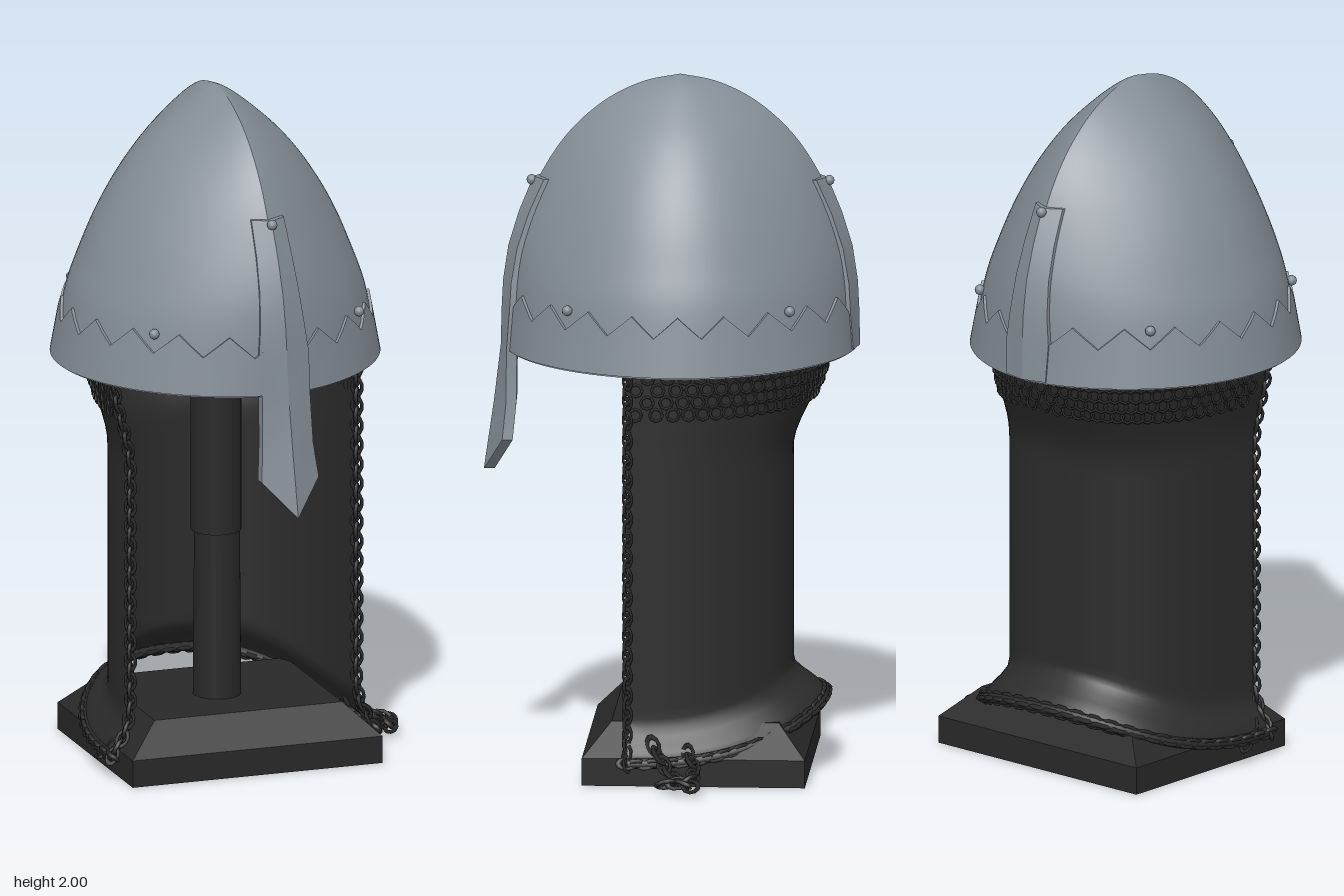
import * as THREE from 'three';
import { mergeGeometries, toCreasedNormals } from 'three/addons/utils/BufferGeometryUtils.js';

const V = (x, y, z) => new THREE.Vector3(x, y, z);
const { lerp, smoothstep, clamp } = THREE.MathUtils;

// Surface patch from a rule p(i, j) returning a Vector3
function grid(nu, nv, p, flip = false) {
  const pos = [], idx = [];
  for (let j = 0; j <= nv; j++) for (let i = 0; i <= nu; i++) pos.push(...p(i, j).toArray());
  for (let j = 0; j < nv; j++) for (let i = 0; i < nu; i++) {
    const a = j * (nu + 1) + i, b = a + 1, c = a + nu + 1, d = c + 1;
    idx.push(...(flip ? [a, c, b, b, c, d] : [a, b, c, b, d, c]));
  }
  const g = new THREE.BufferGeometry();
  g.setAttribute('position', new THREE.Float32BufferAttribute(pos, 3));
  g.setIndex(idx);
  g.computeVertexNormals();
  return g;
}

// Dome profile: half width, height, half depth
const CX = -0.06, CZ = -0.03;
const profile = new THREE.CatmullRomCurve3([
  V(0.467, 1.2, 0.497), V(0.43, 1.4, 0.49), V(0.395, 1.5, 0.475), V(0.345, 1.62, 0.437),
  V(0.28, 1.735, 0.385), V(0.2, 1.84, 0.31), V(0.105, 1.93, 0.205), V(0.04, 1.98, 0.1), V(0, 2, 0),
]).getPoints(96);

function radii(y) {
  let k = 1;
  while (k < profile.length - 1 && profile[k].y < y) k++;
  const a = profile[k - 1], b = profile[k];
  return a.clone().lerp(b, clamp((y - a.y) / (b.y - a.y), 0, 1));
}
// The section turns from nearly round at the rim to a ridged lens at the top
const ridge = y => 0.07 + 0.35 * clamp((y - 1.2) / 0.8, 0, 1);
function domePoint(angle, r, off) {
  const c = Math.cos(angle), s = Math.sin(angle);
  return V(CX + Math.max(r.x + off, 0) * c, r.y,
    CZ + Math.max(r.z + off, 0) * s * (1 - ridge(r.y) * Math.abs(c)));
}
function halfDome(side, off, drop, flip) {
  return grid(40, 48, (i, j) => {
    const a = -Math.PI / 2 + Math.PI * (i / 40 + (side > 0 ? 0 : 1));
    const p = domePoint(a, profile[j * 2], off);
    p.y -= drop * j / 48;
    return p;
  }, flip);
}

// Ridged strap lying on the dome (dir 1 front, -1 back), rows are [height, half width]
function strap(rows, dir, thick) {
  const all = [rows[0], ...rows];
  return toCreasedNormals(grid(6, all.length - 1, (i, j) => {
    const [y, w] = all[j];
    const k = [-1, 0, 1, 1, 0, -1, -1][i], back = i > 2 && i < 6;
    const x = dir > 0 ? -0.055 + (1.7 - y) * 0.03 : CX;
    let z;
    if (y >= 1.2) {
      const r = radii(y), c = Math.abs(k * w) / r.x;
      z = CZ + dir * (r.z * Math.sqrt(1 - c * c) * (1 - ridge(y) * c) + (k ? 0.012 : 0.018));
    } else {
      z = lerp(0.482, 0.533, (1.2 - y) / 0.35) - Math.abs(k) * w * 0.45;
    }
    if (back) z -= dir * thick;
    if (j === 0) z -= dir * 0.04;
    return V(x + k * w, y, z);
  }, dir > 0), 0.35);
}

// Draped curtain: a runs 0..PI from the left edge round the back, t from hem to top
function mailPoint(a, t, off = 0) {
  const c = Math.cos(a), s = Math.max(Math.sin(a), 0);
  const y = lerp(0.07 + 0.13 * s * s, 1.27, t);
  const flare = 1 - smoothstep(t, 0, 0.09), top = smoothstep(y, 0.92, 1.2);
  const hx = 0.35 + 0.025 * top + 0.055 * flare + off;
  const depth = 0.47 + 0.1 * top + 0.09 * flare + off;
  return V(-0.03 - 0.025 * top + hx * Math.sign(c) * Math.abs(c) ** 0.8, y, 0.115 - depth * s ** 0.8);
}

// Interlocked rings along a curve
function chain(points, count, r, tube) {
  const curve = new THREE.CatmullRomCurve3(points), parts = [];
  for (let i = 0; i < count; i++) {
    const u = i / (count - 1), dir = curve.getTangentAt(u);
    const g = new THREE.TorusGeometry(r, tube, 4, 10);
    g.scale(1.3, 0.85, 1);
    g.rotateX(i % 2 ? 0.9 : -0.7);
    g.applyQuaternion(new THREE.Quaternion().setFromUnitVectors(V(1, 0, 0), dir));
    const p = curve.getPointAt(u);
    parts.push(g.translate(p.x, p.y, p.z));
  }
  return mergeGeometries(parts);
}

export function createModel() {
  const model = new THREE.Group();
  const material = (name, color, side = THREE.FrontSide) => {
    const m = new THREE.MeshStandardMaterial({ color, side });
    m.name = name;
    return m;
  };
  const steel = material('steel', 0x838c95);
  const iron = material('blackened mail', 0x2b2b2b, THREE.DoubleSide);
  const wood = material('dark wood', 0x282828);
  const add = (name, geometry, mat) => {
    const m = new THREE.Mesh(geometry, mat);
    m.name = name;
    model.add(m);
    return m;
  };

  // Helmet shell in two halves that meet at a sharp ridge, with a dark lining
  add('helmetShell', mergeGeometries([1, -1].map(s => halfDome(s, 0, 0, true))), steel);
  add('helmetLining', mergeGeometries([1, -1].map(s => halfDome(s, -0.03, 0.03, false))), iron);

  // Brow band with a zigzag upper edge and a folded lower lip
  add('browBand', toCreasedNormals(grid(160, 3, (i, j) => {
    const a = i / 160 * Math.PI * 2;
    const tooth = Math.abs((i % 8) / 4 - 1);
    const y = [1.205, 1.205, 1.315 + 0.06 * tooth, 1.315 + 0.06 * tooth][j];
    return domePoint(a, radii(y), [-0.035, 0.008, 0.008, -0.002][j]);
  }, true), 0.6), steel);

  // Nose guard and rear strap
  const strapRows = [[1.7, 0.05], [1.6, 0.054], [1.5, 0.06], [1.4, 0.068], [1.32, 0.077], [1.21, 0.073]];
  add('noseGuard', strap([...strapRows, [1.05, 0.078], [0.95, 0.088], [0.85, 0.002]], 1, 0.03), steel);
  add('rearStrap', strap(strapRows, -1, 0.03), steel);

  // Rivets
  const rivets = [0.25, 0.75, 1.25, 1.75].map(k => domePoint(k * Math.PI, radii(1.37), 0.01));
  rivets.push(V(-0.055, 1.69, CZ + radii(1.69).z + 0.018), V(CX, 1.69, CZ - radii(1.69).z - 0.018));
  for (const p of rivets) add('rivet', new THREE.SphereGeometry(0.015, 12, 8), steel).position.copy(p);

  // Mail curtain
  add('mailCurtain', grid(48, 36, (i, j) => mailPoint(i / 48 * Math.PI, (j / 36) ** 1.3)), iron);

  // Rows of rings below the helmet
  const rings = [];
  for (let row = 0; row < 5; row++) for (let i = 0; i < 40; i++) {
    const a = (i + 0.5 * (row % 2) + 0.25) / 40.5 * Math.PI;
    const t = 0.84 + row * 0.03, p = mailPoint(a, t, 0.002);
    const along = mailPoint(a + 0.01, t).sub(mailPoint(a - 0.01, t)).setY(0).normalize();
    const g = new THREE.TorusGeometry(0.018, 0.004, 4, 8);
    g.rotateY(Math.atan2(-along.z, along.x));
    rings.push(g.translate(p.x, p.y, p.z));
  }
  add('mailRings', mergeGeometries(rings), iron);

  // Linked rings on the front edges and around the hem
  const steps = n => Array.from({ length: n + 1 }, (_, i) => i / n);
  for (const a of [0, Math.PI]) {
    add('mailEdge', chain(steps(16).map(t => mailPoint(a, t * 0.97)), 42, 0.018, 0.006), iron);
  }
  const hem = steps(24).map(u => mailPoint(u * Math.PI, 0));
  add('mailHem', chain(hem, 64, 0.02, 0.007), iron);
  add('hemRoll', new THREE.TubeGeometry(new THREE.CatmullRomCurve3(hem), 60, 0.016, 6), iron);

  // Loose ends of the hem
  add('looseChain', chain([V(0.36, 0.12, 0.04), V(0.41, 0.06, 0), V(0.46, 0.035, -0.03), V(0.5, 0.03, -0.07)], 7, 0.022, 0.007), iron);
  add('looseChain', chain([V(0.37, 0.1, -0.06), V(0.42, 0.06, -0.08), V(0.47, 0.04, -0.06), V(0.47, 0.03, 0)], 7, 0.022, 0.007), iron);
  add('looseChain', chain([V(-0.4, 0.12, 0.09), V(-0.42, 0.08, 0.06), V(-0.43, 0.05, 0.02)], 4, 0.018, 0.006), iron);

  // Stand: chamfered foot, post and upper sleeve
  const foot = new THREE.Group();
  foot.name = 'standFoot';
  const slab = new THREE.Mesh(new THREE.BoxGeometry(0.76, 0.08, 0.64), wood);
  slab.name = 'footSlab';
  slab.position.y = 0.04;
  const bevel = new THREE.CylinderGeometry(0.75 * Math.SQRT2, Math.SQRT2, 0.09, 4, 1).rotateY(Math.PI / 4);
  const chamfer = new THREE.Mesh(toCreasedNormals(bevel.scale(0.38, 1, 0.32), 0.2), wood);
  chamfer.name = 'footChamfer';
  chamfer.position.y = 0.125;
  foot.add(slab, chamfer);
  foot.position.set(-0.02, 0, -0.09);
  foot.rotation.y = -0.04;
  model.add(foot);
  add('post', new THREE.CylinderGeometry(0.066, 0.07, 0.52, 24), wood).position.set(-0.042, 0.42, -0.06);
  add('postSleeve', new THREE.CylinderGeometry(0.073, 0.073, 0.94, 24), wood).position.set(-0.045, 1.13, -0.06);
  return model;
}
